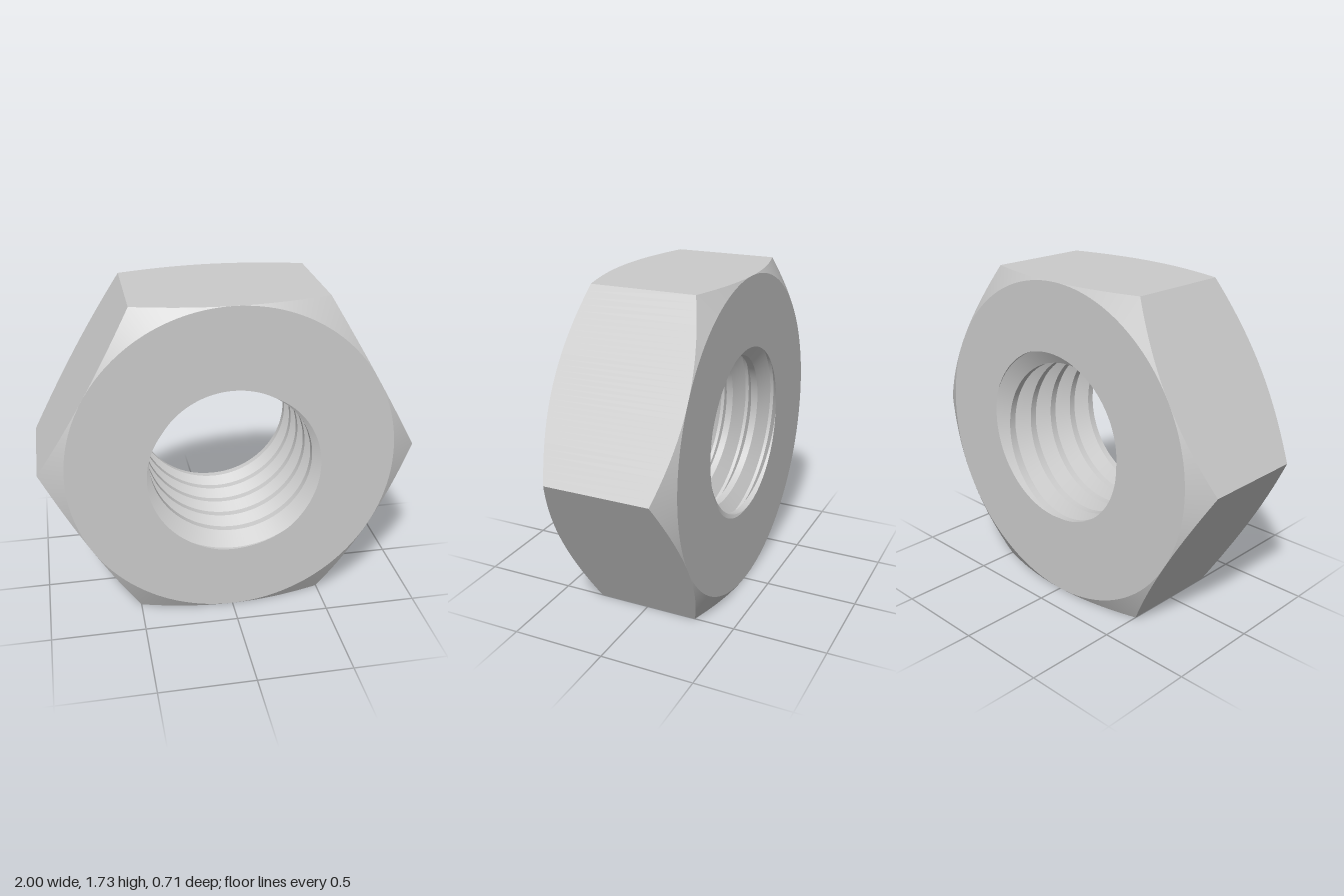
import * as THREE from 'three';
import { toCreasedNormals } from 'three/addons/utils/BufferGeometryUtils.js';

const SEG = 192;                       // columns around the axis, a multiple of 6
const FLAT = Math.sqrt(3) / 2;         // centre to a flat of the hexagon
const H = 0.357;                       // half thickness
const PITCH = 0.153, MINOR = 0.426, MAJOR = 0.508;
const ROOT_ANGLE = THREE.MathUtils.degToRad(284.5); // thread root at the front face

const point = (r, t, z) => new THREE.Vector3(r * Math.cos(t), r * Math.sin(t), z);

// Hexagon radius at an angle, with corners at 0, 60, 120... degrees
function hexRadius(t) {
  const s = Math.PI / 3;
  return FLAT / Math.cos((((t % s) + s) % s) - s / 2);
}

// Height of the thread root nearest the front face
const rootZ = (t) => H + PITCH * (t - ROOT_ANGLE) / (2 * Math.PI);

// Hole radius: flat root, 60 degree flanks, flat crest
function threadRadius(t, z) {
  const u = (z - rootZ(t)) / PITCH;
  const d = Math.abs(u - Math.round(u));
  const k = THREE.MathUtils.clamp((d - 1 / 16) / (5 / 16), 0, 1);
  return MAJOR + (MINOR - MAJOR) * k;
}

// Adds a strip running round the axis between two closed curves
function addBand(out, a, b) {
  const tri = (p, q, r) => {
    const area = q.clone().sub(p).cross(r.clone().sub(p)).length();
    if (area > 1e-8) for (const v of [p, q, r]) out.push(v.x, v.y, v.z);
  };
  for (let i = 0; i < SEG; i++) {
    const t0 = (i / SEG) * Math.PI * 2, t1 = ((i + 1) / SEG) * Math.PI * 2;
    const a0 = a(t0), a1 = a(t1), b0 = b(t0), b1 = b(t1);
    tri(a0, b0, b1);
    tri(a0, b1, a1);
  }
}

function makeMesh(name, positions, material) {
  const geometry = new THREE.BufferGeometry();
  geometry.setAttribute('position', new THREE.Float32BufferAttribute(positions, 3));
  const mesh = new THREE.Mesh(toCreasedNormals(geometry, 0.35), material);
  mesh.name = name;
  mesh.position.y = FLAT;
  return mesh;
}

export function createModel() {
  const group = new THREE.Group();
  group.name = 'hexNut';
  const material = new THREE.MeshStandardMaterial({ color: 0xcccccc });

  // Body: front face, chamfer, six flats, chamfer, back face
  const chamferZ = (t) => H - (hexRadius(t) - FLAT) * Math.tan(Math.PI / 6);
  const outline = [
    (t) => point(threadRadius(t, H), t, H),
    (t) => point(FLAT, t, H),
    (t) => point(hexRadius(t), t, chamferZ(t)),
    (t) => point(hexRadius(t), t, -chamferZ(t)),
    (t) => point(FLAT, t, -H),
    (t) => point(threadRadius(t, -H), t, -H),
  ];
  const body = [];
  for (let i = 0; i + 1 < outline.length; i++) addBand(body, outline[i], outline[i + 1]);
  group.add(makeMesh('hexBody', body, material));

  // Thread: helical bands trimmed at both faces
  const steps = [-1 / 16, 1 / 16, 3 / 8, 5 / 8];
  const turns = Math.ceil((2 * H) / PITCH) + 2;
  const edges = [];
  for (let n = -turns; n <= 2; n++) {
    for (const s of steps) {
      edges.push((t) => {
        const z = THREE.MathUtils.clamp(rootZ(t) + (n + s) * PITCH, -H, H);
        return point(threadRadius(t, z), t, z);
      });
    }
  }
  const thread = [];
  for (let i = 0; i + 1 < edges.length; i++) addBand(thread, edges[i], edges[i + 1]);
  group.add(makeMesh('innerThread', thread, material));

  return group;
}
